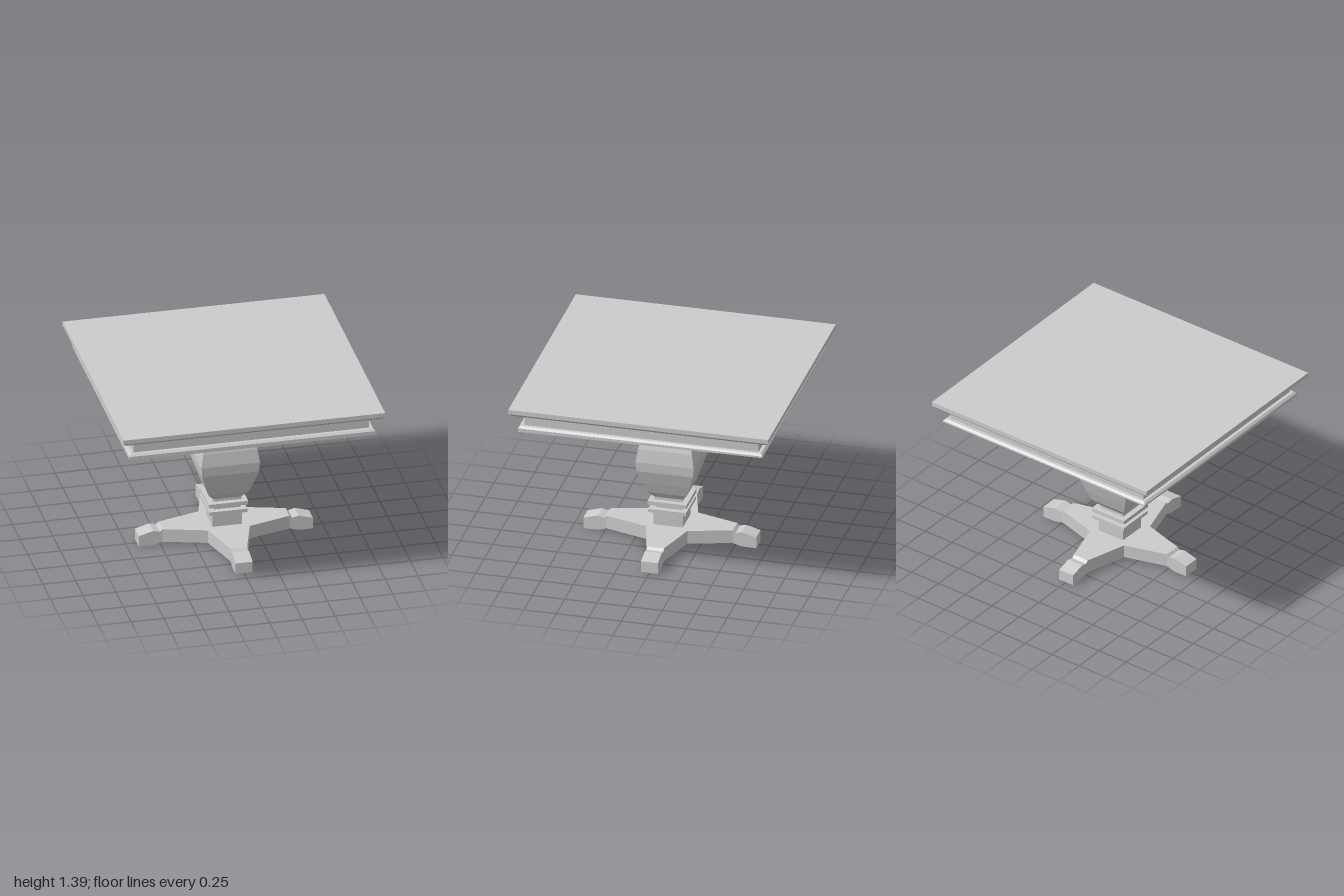
import * as THREE from 'three';

const material = new THREE.MeshStandardMaterial({ color: 0xcccccc, flatShading: true });

// Square turned part: profile of [half width, height] from bottom to top
function squareTurned(name, profile) {
  const points = profile.map(([w, y]) => new THREE.Vector2(w * Math.SQRT2, y));
  const mesh = new THREE.Mesh(new THREE.LatheGeometry(points, 4, Math.PI / 4), material);
  mesh.name = name;
  return mesh;
}

// One foot, running out along +x, lofted through [distance, half width, bottom, top]
function footGeometry() {
  const stations = [
    [0, 0, 0.02, 0.125],
    [0.16, 0.16, 0.02, 0.125],
    [0.485, 0.065, 0.02, 0.125],
    [0.505, 0.065, 0.014, 0.106],
    [0.555, 0.065, 0, 0.118],
    [0.665, 0.065, 0, 0.088],
  ];
  const position = [];
  const index = [];
  for (const [x, w, bottom, top] of stations) {
    position.push(x, bottom, w, x, bottom, -w, x, top, -w, x, top, w);
  }
  for (let s = 0; s < stations.length - 1; s++) {
    for (let k = 0; k < 4; k++) {
      // the first span opens into the neighbouring feet, so it has no sides
      if (s === 0 && k % 2 === 1) continue;
      const a = s * 4 + k;
      const b = s * 4 + ((k + 1) % 4);
      index.push(a, b, b + 4, a, b + 4, a + 4);
    }
  }
  const e = (stations.length - 1) * 4;
  index.push(e, e + 1, e + 2, e, e + 2, e + 3);
  const geometry = new THREE.BufferGeometry();
  geometry.setAttribute('position', new THREE.Float32BufferAttribute(position, 3));
  geometry.setIndex(index);
  geometry.computeVertexNormals();
  return geometry;
}

export function createModel() {
  const table = new THREE.Group();
  table.name = 'pedestalTable';

  // Top slab with a chamfered lower edge
  table.add(squareTurned('tableTop', [
    [0, 1.335], [0.98, 1.335], [1, 1.355], [1, 1.39], [0, 1.39],
  ]));

  // Apron between the top and the lower moulding
  table.add(squareTurned('apron', [[0.9, 1.215], [0.9, 1.34]]));

  // Lower moulding; its underside slopes slightly towards the front
  const moulding = squareTurned('apronMoulding', [
    [0, 1.195], [0.94, 1.195], [0.94, 1.216], [0.925, 1.231], [0.89, 1.231],
  ]);
  const p = moulding.geometry.attributes.position;
  for (let i = 0; i < p.count; i++) {
    if (p.getY(i) < 1.2) p.setY(i, p.getY(i) - 0.0085 * p.getZ(i));
  }
  table.add(moulding);

  // Square baluster column
  table.add(squareTurned('column', [
    [0.112, 0.12], [0.112, 0.237],
    [0.145, 0.237], [0.145, 0.264],
    [0.102, 0.264], [0.102, 0.3],
    [0.15, 0.3], [0.15, 0.331],
    [0.107, 0.331], [0.107, 0.353],
    [0.15, 0.405], [0.183, 0.495], [0.217, 0.603], [0.223, 0.68],
    [0.208, 0.785], [0.155, 0.945], [0.155, 1.01],
    [0.192, 1.01], [0.192, 1.035],
    [0.165, 1.035], [0.165, 1.058],
    [0.197, 1.058], [0.197, 1.085],
    [0.165, 1.085], [0.165, 1.21],
  ]));

  // Four feet joined in a star
  const base = new THREE.Group();
  base.name = 'base';
  const geometry = footGeometry();
  for (let i = 0; i < 4; i++) {
    const foot = new THREE.Mesh(geometry, material);
    foot.name = 'foot';
    foot.rotation.y = (i * Math.PI) / 2;
    base.add(foot);
  }
  table.add(base);

  return table;
}
